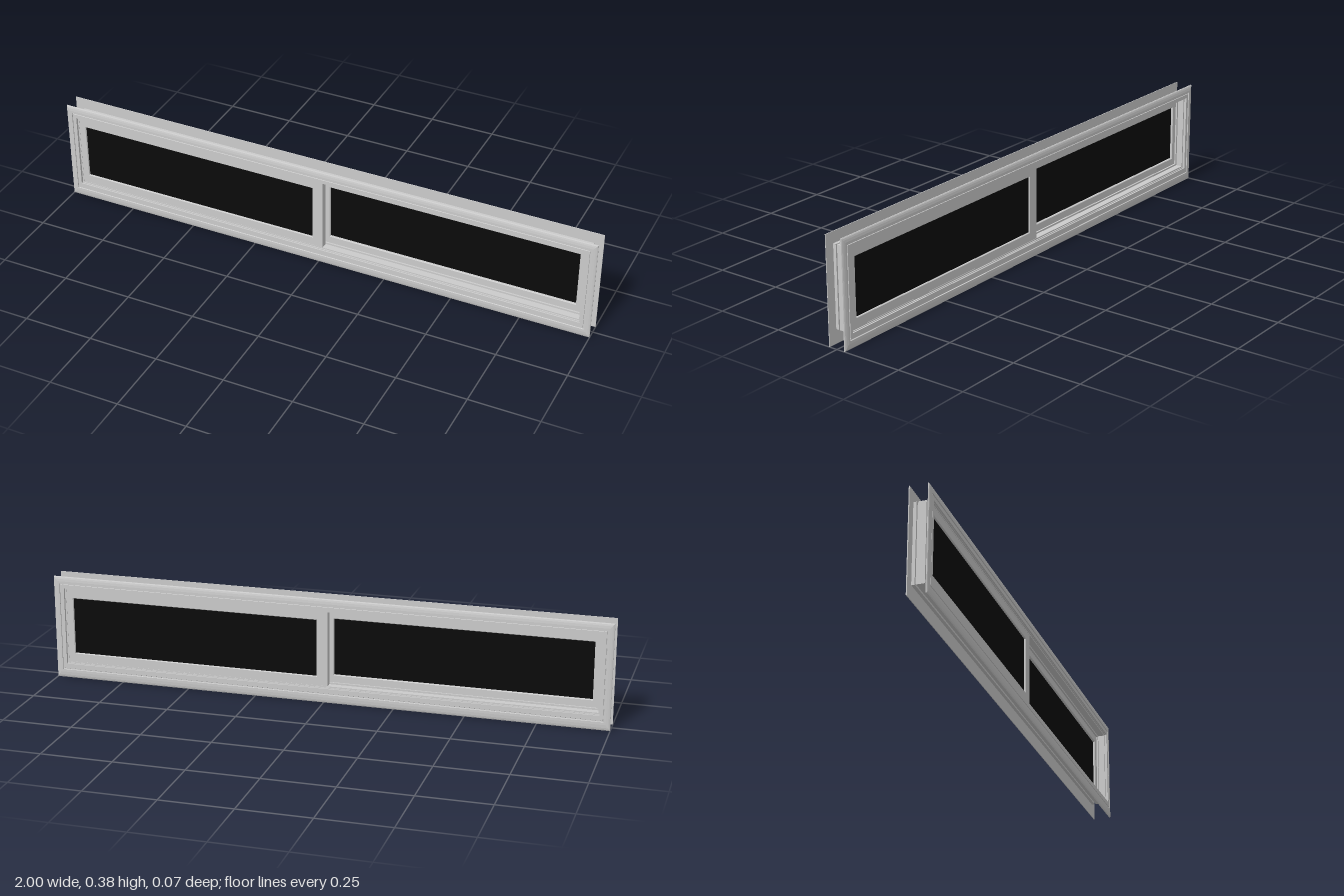
import * as THREE from 'three';

const grey = new THREE.MeshStandardMaterial({ color: 0xcccccc });
const black = new THREE.MeshStandardMaterial({ color: 0x0a0a0a });

// Mitred rectangular ring. Rects are [x0, y0, x1, y1]; the profile is a
// counter-clockwise loop of [t, z], t running from outer rect (0) to inner (1).
function ring(name, outer, inner, profile) {
  const corners = [[0, 1], [2, 1], [2, 3], [0, 3]];
  const point = (p, k) => {
    const [t, z] = profile[p % profile.length];
    const [i, j] = corners[k % 4];
    return [
      outer[i] + (inner[i] - outer[i]) * t,
      outer[j] + (inner[j] - outer[j]) * t,
      z,
    ];
  };
  const pos = [];
  for (let k = 0; k < 4; k++) {
    for (let p = 0; p < profile.length; p++) {
      const a = point(p, k), b = point(p + 1, k);
      const c = point(p + 1, k + 1), d = point(p, k + 1);
      pos.push(...a, ...b, ...c, ...a, ...c, ...d);
    }
  }
  const geo = new THREE.BufferGeometry();
  geo.setAttribute('position', new THREE.Float32BufferAttribute(pos, 3));
  geo.computeVertexNormals();
  const mesh = new THREE.Mesh(geo, grey);
  mesh.name = name;
  return mesh;
}

// One face of the window: casing trim, sliding sash and its pane
function windowSide(name) {
  const side = new THREE.Group();
  side.name = name;

  // Casing with a rounded outer edge and a fine groove
  side.add(ring('casing', [-1, 0, 1, 0.378], [-0.962, 0.052, 0.962, 0.335], [
    [0, 0.03], [1, 0.03], [1, 0.036], [0.68, 0.036], [0.66, 0.034],
    [0.6, 0.034], [0.58, 0.037], [0.4, 0.037], [0.2, 0.036], [0.07, 0.0345], [0, 0.0325],
  ]));

  // Sash frame with a small bevel around the glass
  const x0 = -0.932, x1 = -0.027, y0 = 0.092, y1 = 0.297;
  side.add(ring('sash', [-0.96, 0.056, 0.013, 0.332], [x0, y0, x1, y1], [
    [0, 0.004], [0.94, 0.004], [1, 0.006], [1, 0.024], [0.94, 0.026], [0, 0.026],
  ]));

  const pane = new THREE.Mesh(new THREE.BoxGeometry(x1 - x0, y1 - y0, 0.008), black);
  pane.position.set((x0 + x1) / 2, (y0 + y1) / 2, 0.016);
  pane.name = 'glassPane';
  side.add(pane);
  return side;
}

export function createModel() {
  const model = new THREE.Group();
  model.name = 'slidingWindow';

  // Jamb: two grooves outside, a guide fin between the sashes inside
  model.add(ring('jamb', [-0.967, 0.05, 0.967, 0.338], [-0.957, 0.059, 0.957, 0.329], [
    [0, -0.031], [0.5, -0.031], [0.5, -0.027], [1, -0.027], [1, -0.003],
    [1.7, -0.003], [1.7, 0.003], [1, 0.003], [1, 0.027], [0.5, 0.027], [0.5, 0.031], [0, 0.031],
    [0, 0.019], [0.8, 0.019], [0.8, 0.014], [0, 0.014],
    [0, -0.014], [0.8, -0.014], [0.8, -0.019], [0, -0.019],
  ]));

  // Both faces are the same, turned half a circle
  const back = windowSide('backSide');
  back.rotation.y = Math.PI;
  model.add(windowSide('frontSide'), back);
  return model;
}
